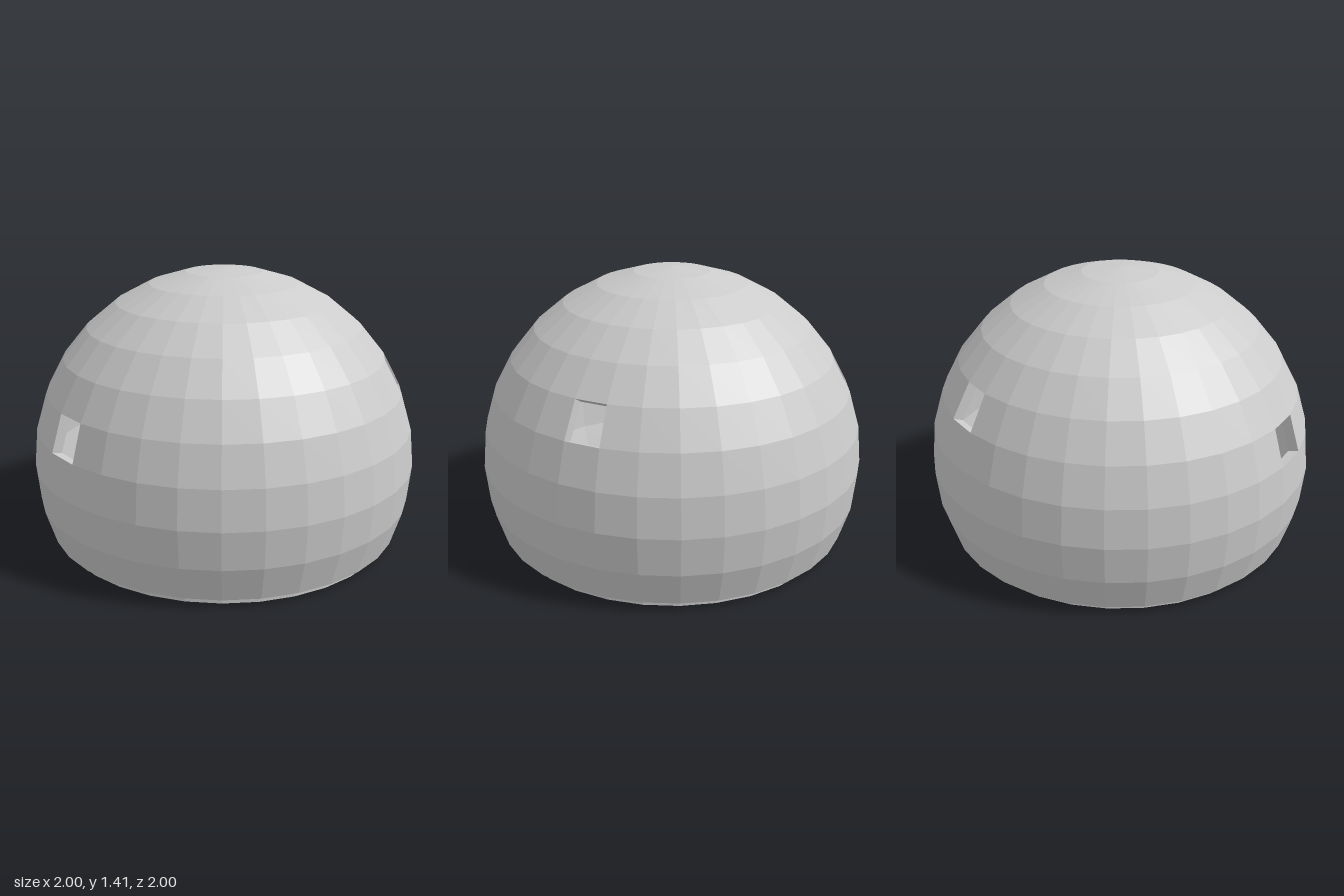
import * as THREE from 'three';

const SEGMENTS = 32, ROWS = 10, STEP = Math.PI / 16;
const CENTRE_Y = 0.414, INNER = 0.95, RIM_Y = 0.04;
// Window openings as [row from the top, segment counted from the front towards +x]
const WINDOWS = [[6, 31], [5, 11], [5, 21]];

// Corner of the faceted sphere, scaled for the inner skin; the last row is cut flat at the rim
function corner(row, seg, scale) {
  const last = row === ROWS;
  const r = last ? 0.926 * scale : Math.sin(row * STEP) * scale;
  const y = last ? RIM_Y : CENTRE_Y + Math.cos(row * STEP) * scale;
  const a = seg * STEP;
  return [r * Math.sin(a), y, r * Math.cos(a)];
}

function shellGeometry() {
  const pos = [];
  const tri = (a, b, c) => pos.push(...a, ...b, ...c);
  const quad = (a, b, c, d) => { tri(a, b, c); tri(a, c, d); };

  for (let row = 0; row < ROWS; row++) {
    for (let seg = 0; seg < SEGMENTS; seg++) {
      const cell = s => [corner(row, seg, s), corner(row + 1, seg, s),
        corner(row + 1, seg + 1, s), corner(row, seg + 1, s)];
      const o = cell(1), i = cell(INNER);
      if (WINDOWS.some(([r, s]) => r === row && s === seg)) {
        // window reveals through the wall thickness
        for (let k = 0; k < 4; k++) {
          const n = (k + 1) % 4;
          quad(o[k], o[n], i[n], i[k]);
        }
      } else if (row === 0) {
        tri(o[0], o[1], o[2]);
        tri(i[0], i[2], i[1]);
      } else {
        quad(...o);
        quad(i[3], i[2], i[1], i[0]);
      }
      // underside of the rim
      if (row === ROWS - 1) quad(o[1], i[1], i[2], o[2]);
    }
  }
  const geo = new THREE.BufferGeometry();
  geo.setAttribute('position', new THREE.Float32BufferAttribute(pos, 3));
  geo.computeVertexNormals();
  return geo;
}

export function createModel() {
  const group = new THREE.Group();
  group.name = 'dome';
  const material = new THREE.MeshStandardMaterial({ color: 0xcccccc, flatShading: true });

  // Thick faceted dome with three windows
  const shell = new THREE.Mesh(shellGeometry(), material);
  shell.name = 'domeShell';
  group.add(shell);

  // Floor disc recessed under the rim
  const floor = new THREE.Mesh(new THREE.CylinderGeometry(0.885, 0.885, RIM_Y, SEGMENTS), material);
  floor.name = 'floorDisc';
  floor.position.y = RIM_Y / 2;
  group.add(floor);

  return group;
}
